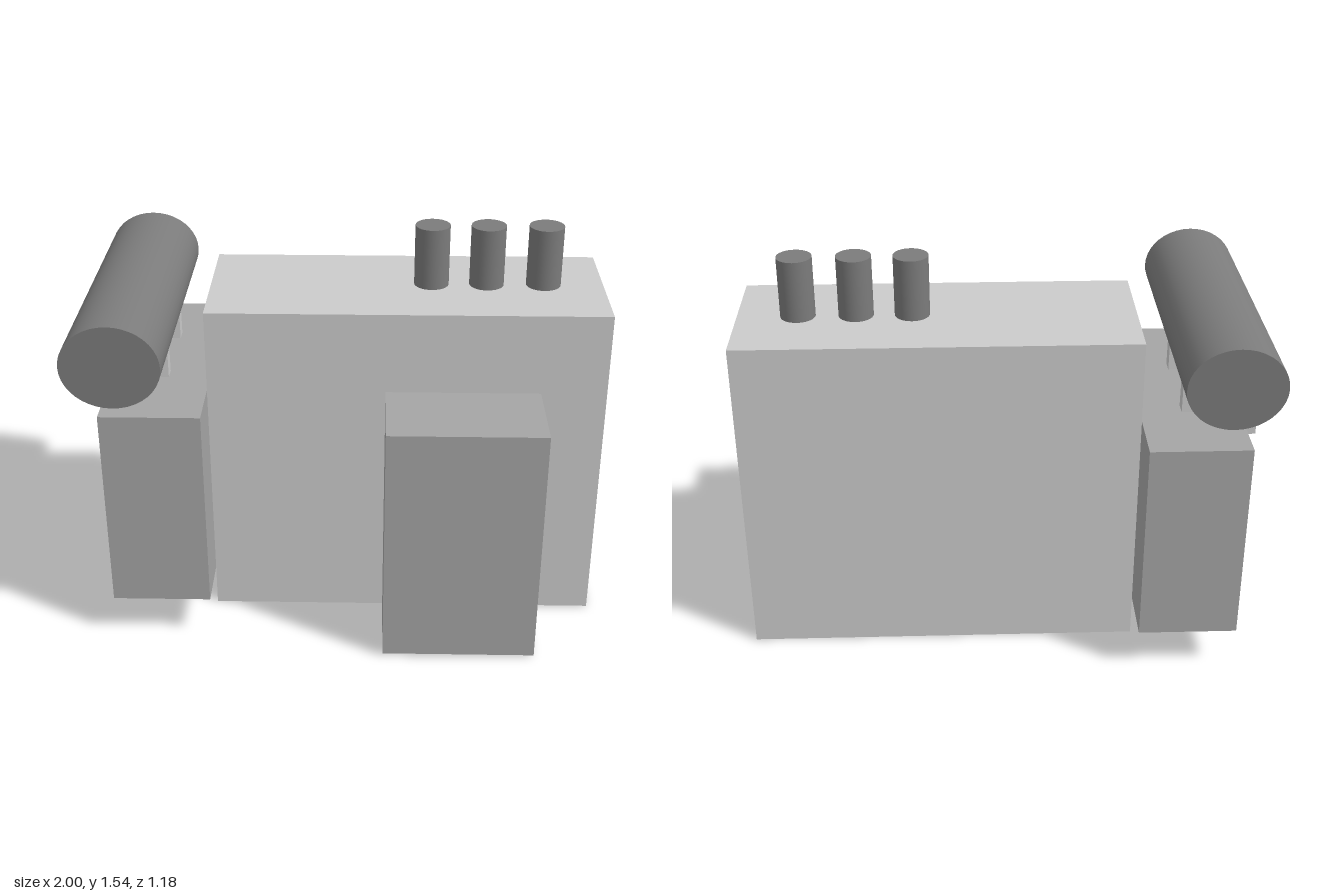
import * as THREE from 'three';

const light = new THREE.MeshStandardMaterial({ color: 0xcccccc });
const medium = new THREE.MeshStandardMaterial({ color: 0xa5a5a5 });
const dark = new THREE.MeshStandardMaterial({ color: 0x7b7b7b });

// Box given by its minimum and maximum corners
function box(name, material, [x0, y0, z0], [x1, y1, z1]) {
  const mesh = new THREE.Mesh(new THREE.BoxGeometry(x1 - x0, y1 - y0, z1 - z0), material);
  mesh.position.set((x0 + x1) / 2, (y0 + y1) / 2, (z0 + z1) / 2);
  mesh.name = name;
  return mesh;
}

export function createModel() {
  const model = new THREE.Group();
  model.name = 'transformer';

  // Main tank with the front cabinet and the side radiator
  model.add(
    box('mainTank', light, [-0.52, 0, -0.35], [1, 1.3, 0.245]),
    box('frontCabinet', medium, [0.16, 0.01, 0.245], [0.75, 0.98, 0.59]),
    box('sideRadiator', medium, [-0.9, 0.17, -0.58], [-0.52, 0.98, 0.47])
  );

  // Two thin brackets carrying the conservator
  for (const z of [-0.28, 0.08]) {
    model.add(box('conservatorBracket', light, [-0.97, 0.88, z], [-0.68, 1.2, z + 0.055]));
  }

  // Horizontal conservator drum, slightly oval
  const drum = new THREE.CylinderGeometry(1, 1, 1.165, 40);
  drum.rotateX(Math.PI / 2);
  drum.scale(0.182, 0.159, 1);
  const conservator = new THREE.Mesh(drum, dark);
  conservator.position.set(-0.818, 1.231, -0.008);
  conservator.name = 'conservator';
  model.add(conservator);

  // Row of three bushings on the lid
  const bushingShape = new THREE.CylinderGeometry(0.067, 0.067, 0.24, 32);
  for (const x of [0.335, 0.548, 0.768]) {
    const bushing = new THREE.Mesh(bushingShape, dark);
    bushing.position.set(x, 1.422, -0.057);
    bushing.name = 'bushing';
    model.add(bushing);
  }

  return model;
}
